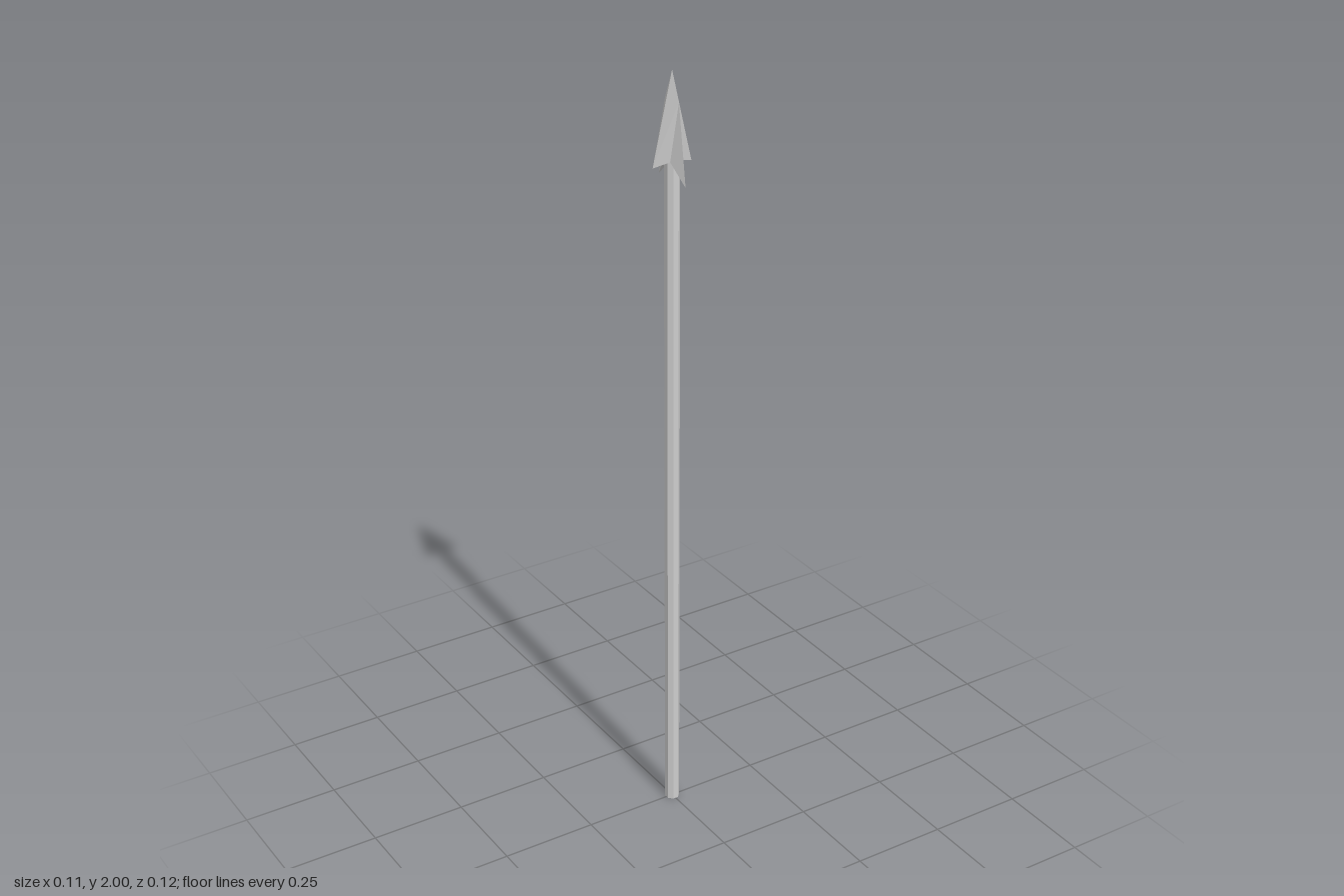
import * as THREE from 'three';

const material = new THREE.MeshStandardMaterial({ color: 0xcccccc, flatShading: true });

// One quarter of the barbed head, mirrored into all four quadrants
function headGeometry() {
  const tip = [0, 2, 0];
  const shoulder = [0, 1.93, 0.029];
  const sideBarb = [0.053, 1.773, 0];
  const frontBarb = [0, 1.733, 0.058];
  const notch = [0.0145, 1.785, 0.0145];
  const frontRoot = [0, 1.785, 0.0145];
  const sideRoot = [0.0145, 1.785, 0];
  const faces = [
    [tip, shoulder, sideBarb],
    [shoulder, notch, sideBarb],
    [shoulder, frontBarb, notch],
    [frontBarb, frontRoot, notch],
    [sideBarb, notch, sideRoot],
  ];
  const positions = [];
  for (const sx of [1, -1]) {
    for (const sz of [1, -1]) {
      for (const [a, b, c] of faces) {
        // Mirroring once reverses the corner order
        const corners = sx * sz > 0 ? [a, b, c] : [a, c, b];
        for (const [x, y, z] of corners) positions.push(x * sx, y, z * sz);
      }
    }
  }
  const geometry = new THREE.BufferGeometry();
  geometry.setAttribute('position', new THREE.Float32BufferAttribute(positions, 3));
  geometry.computeVertexNormals();
  return geometry;
}

export function createModel() {
  const model = new THREE.Group();
  model.name = 'spear';

  // Straight eight-sided shaft reaching into the head
  const shaftGeometry = new THREE.CylinderGeometry(0.019, 0.019, 1.8, 8);
  shaftGeometry.rotateY(Math.PI / 8);
  const shaft = new THREE.Mesh(shaftGeometry, material);
  shaft.name = 'shaft';
  shaft.position.y = 0.9;
  model.add(shaft);

  // Four-barbed point
  const head = new THREE.Mesh(headGeometry(), material);
  head.name = 'spearHead';
  model.add(head);

  return model;
}
